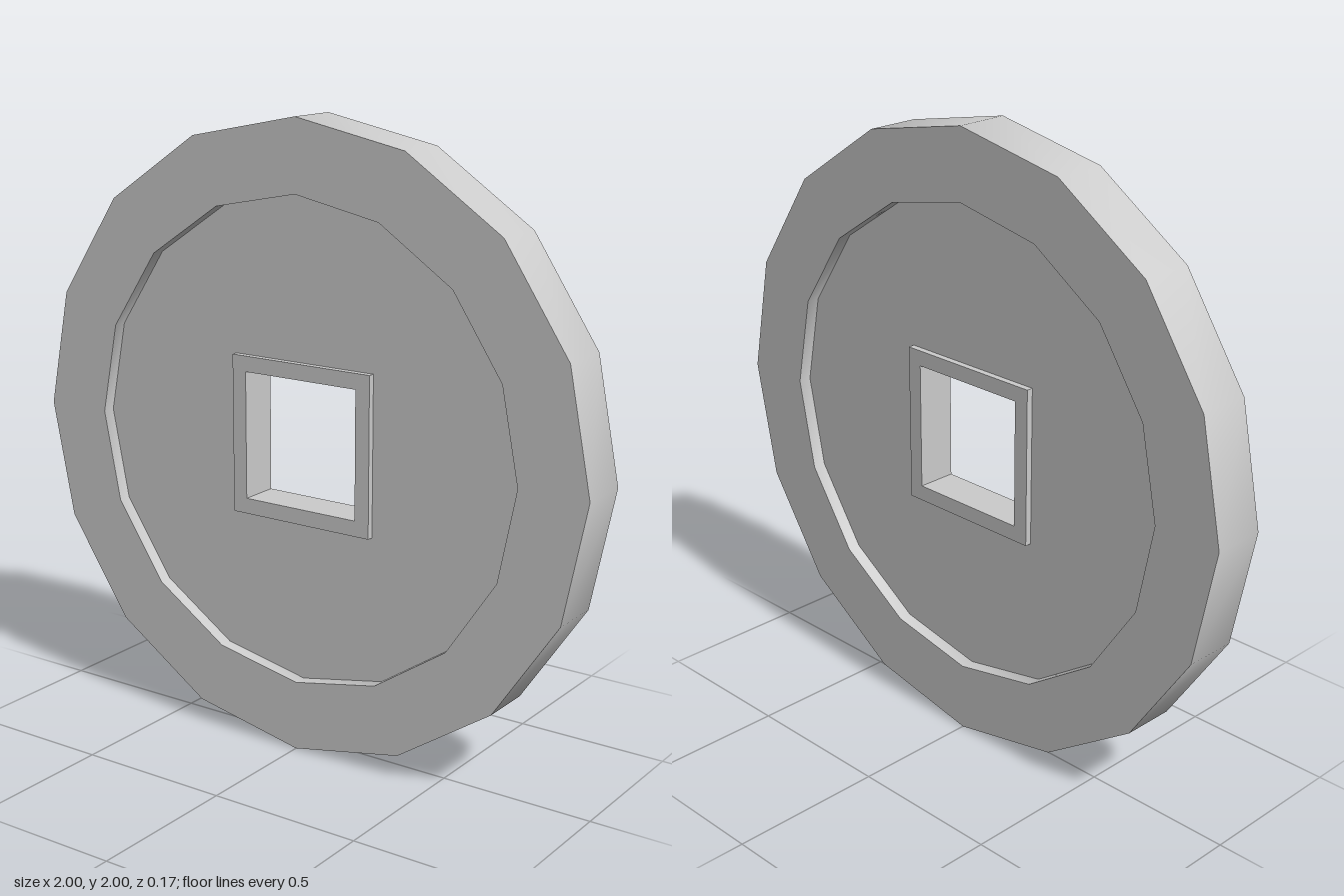
import * as THREE from 'three';
import { toCreasedNormals } from 'three/addons/utils/BufferGeometryUtils.js';

const SIDES = 16;
const RIM_R = 1, FIELD_R = 0.773;            // outer rim and recessed field
const FRAME = 0.255, HOLE = 0.205;           // half widths of the square frame and hole
const RIM_Z = 0.087, FRAME_Z = 0.065, FIELD_Z = 0.044; // half thicknesses

const material = new THREE.MeshStandardMaterial({ color: 0xcccccc });

function addMesh(parent, name, geometry) {
  const mesh = new THREE.Mesh(geometry, material);
  mesh.name = name;
  parent.add(mesh);
  return mesh;
}

// Turns a profile of [radius, z] points around the z axis, keeping corners sharp
function turned(profile, sides, start) {
  const points = profile.map(([r, z]) => new THREE.Vector2(r, z));
  const geometry = new THREE.LatheGeometry(points, sides, start).rotateX(Math.PI / 2);
  return toCreasedNormals(geometry, 0.6);
}

// Regular polygon outline in the xy plane
function polygon(radius, sides, start) {
  return Array.from({ length: sides }, (_, i) => {
    const a = start + (i / sides) * Math.PI * 2;
    return new THREE.Vector2(radius * Math.cos(a), radius * Math.sin(a));
  });
}

export function createModel() {
  const group = new THREE.Group();
  group.name = 'squareHoledCoin';

  const coin = new THREE.Group();
  coin.name = 'coin';
  coin.position.y = RIM_R;
  group.add(coin);

  // Raised outer rim
  addMesh(coin, 'rim', turned([
    [FIELD_R, -FIELD_Z], [FIELD_R, -RIM_Z], [RIM_R, -RIM_Z],
    [RIM_R, RIM_Z], [FIELD_R, RIM_Z], [FIELD_R, FIELD_Z],
  ], SIDES, 0));

  // Square frame lining the central hole
  const out = FRAME * Math.SQRT2, inn = HOLE * Math.SQRT2;
  addMesh(coin, 'holeFrame', turned([
    [out, FIELD_Z], [out, FRAME_Z], [inn, FRAME_Z],
    [inn, -FRAME_Z], [out, -FRAME_Z], [out, -FIELD_Z],
  ], 4, Math.PI / 4));

  // Recessed faces between rim and frame
  const shape = new THREE.Shape(polygon(FIELD_R, SIDES, 0));
  shape.holes.push(new THREE.Path(polygon(out, 4, Math.PI / 4)));
  const field = new THREE.ShapeGeometry(shape).translate(0, 0, FIELD_Z);
  addMesh(coin, 'frontField', field);
  addMesh(coin, 'backField', field).rotation.y = Math.PI;

  return group;
}
